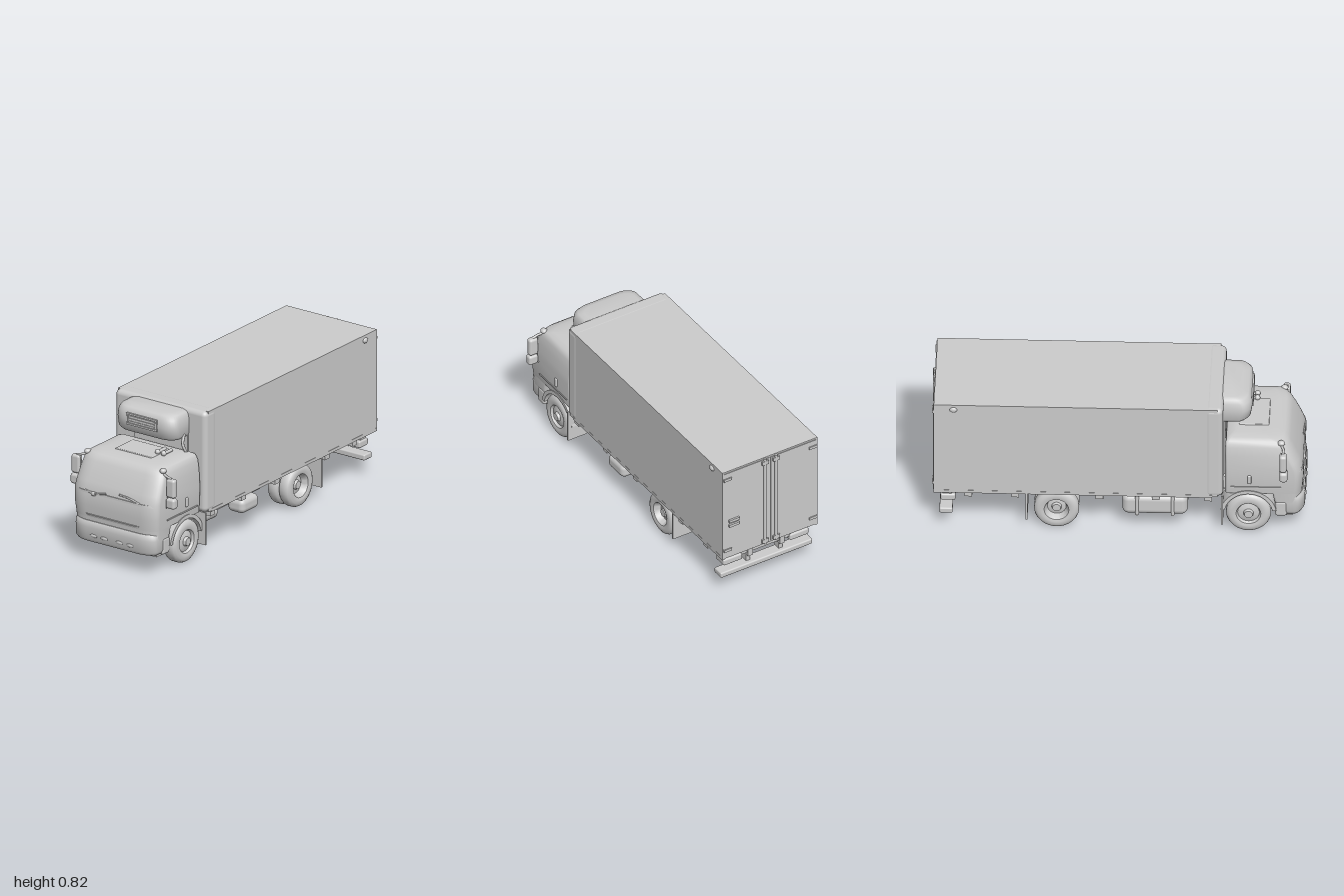
import * as THREE from 'three';
import { toCreasedNormals } from 'three/addons/utils/BufferGeometryUtils.js';
import { RoundedBoxGeometry } from 'three/addons/geometries/RoundedBoxGeometry.js';

const mat = new THREE.MeshStandardMaterial({ color: 0xcccccc, side: THREE.DoubleSide });

export function createModel() {
  const truck = new THREE.Group();

  const add = (name, geo, x = 0, y = 0, z = 0) => {
    const m = new THREE.Mesh(geo, mat);
    m.name = name;
    m.position.set(x, y, z);
    truck.add(m);
    return m;
  };
  // Boxes are given by their limits: [min, max] on each axis
  const box = (name, [x0, x1], [y0, y1], [z0, z1], r = 0) => {
    const s = [x1 - x0, y1 - y0, z1 - z0];
    const geo = r ? new RoundedBoxGeometry(...s, 4, r) : new THREE.BoxGeometry(...s);
    return add(name, geo, (x0 + x1) / 2, (y0 + y1) / 2, (z0 + z1) / 2);
  };
  const pair = (name, [x0, x1], ys, zs, r) => {
    box(name + 'Left', [x0, x1], ys, zs, r);
    box(name + 'Right', [-x1, -x0], ys, zs, r);
  };
  const tube = (name, pts, r) => add(name, new THREE.TubeGeometry(
    new THREE.CatmullRomCurve3(pts.map(p => new THREE.Vector3(...p))), 16, r, 8));
  const rod = (name, a, b, r) => {
    const A = new THREE.Vector3(...a), B = new THREE.Vector3(...b);
    const m = add(name, new THREE.CylinderGeometry(r, r, A.distanceTo(B), 20));
    m.position.copy(A).lerp(B, 0.5);
    m.quaternion.setFromUnitVectors(new THREE.Vector3(0, 1, 0), B.sub(A).normalize());
    return m;
  };
  const ball = (name, x, y, z, rx, ry = rx, rz = rx) =>
    add(name, new THREE.SphereGeometry(1, 20, 14), x, y, z).scale.set(rx, ry, rz);

  // Horizontal outline with elliptical front corners and small rear corners
  const outline = (y, w, zb, zf, rx, rz, rb) => {
    const pts = [], n = 8;
    for (let q = 0; q < 4; q++) {
      const front = q > 1, sx = q === 0 || q === 3 ? 1 : -1;
      const cx = sx * (w - (front ? rx : rb)), cz = front ? zf - rz : zb + rb;
      for (let i = 0; i <= n; i++) {
        const t = (q + i / n) * Math.PI / 2;
        pts.push([cx + Math.cos(t) * (front ? rx : rb), y, cz - Math.sin(t) * (front ? rz : rb)]);
      }
    }
    return pts;
  };
  // Skin over outlines stacked upward; each row is y, halfWidth, back, front, corner sizes
  const loft = (name, rows, crease = 0.5) => {
    const rings = rows.map(([y, w, zb, zf, rx = 0.1, rz = 0.05, rb = 0.015]) => outline(y, w, zb, zf, rx, rz, rb));
    const n = rings[0].length, pos = rings.flat(2), idx = [];
    rings.forEach((r, i) => r.forEach((_, j) => {
      const k = (j + 1) % n, a = i * n + j, b = i * n + k;
      if (i < rings.length - 1) idx.push(a, b, a + n, b, b + n, a + n);
    }));
    const top = (rings.length - 1) * n;
    for (let j = 1; j < n - 1; j++) idx.push(0, j + 1, j, top, top + j, top + j + 1);
    const geo = new THREE.BufferGeometry();
    geo.setAttribute('position', new THREE.Float32BufferAttribute(pos, 3));
    geo.setIndex(idx);
    return add(name, toCreasedNormals(geo, crease));
  };

  // Cargo body with a rounded front frame
  box('cargoBody', [-0.3, 0.3], [0.245, 0.82], [-0.985, 0.53]);
  box('cargoFrontFrame', [-0.302, 0.302], [0.245, 0.821], [0.46, 0.56], 0.028);
  box('cargoFrontPanel', [-0.165, 0.19], [0.3, 0.7], [0.55, 0.568]);
  pair('cargoFloorRail', [0.285, 0.301], [0.24, 0.258], [-0.985, 0.5]);

  // Rear doors with frame, lock rods, hinges and handle
  pair('rearDoor', [0.003, 0.292], [0.255, 0.81], [-0.989, -0.98]);
  for (const s of [-1, 1]) {
    rod('lockRod', [s * 0.035, 0.25, -0.991], [s * 0.035, 0.815, -0.991], 0.008);
    for (const y of [0.27, 0.79]) box('lockBracket', [s * 0.035 - 0.02, s * 0.035 + 0.02], [y - 0.012, y + 0.012], [-0.998, -0.98]);
    for (const y of [0.3, 0.77]) box('hinge', [s * 0.27 - 0.025, s * 0.27 + 0.025], [y - 0.008, y + 0.008], [-0.995, -0.98]);
    ball('markerLamp', s * 0.3, 0.79, -0.88, 0.011, 0.016, 0.02);
  }
  for (const y of [0.46, 0.49]) box('doorHandle', [0.2, 0.265], [y - 0.008, y + 0.008], [-1, -0.98]);

  // Cooling unit over the cab
  const cooler = loft('coolingUnit', [
    [0.662, 0.165, 0.55, 0.665, 0.08, 0.05], [0.668, 0.187, 0.55, 0.69, 0.08, 0.06],
    [0.685, 0.196, 0.55, 0.704, 0.08, 0.06], [0.74, 0.198, 0.55, 0.712, 0.08, 0.06],
    [0.785, 0.194, 0.55, 0.706, 0.08, 0.06], [0.805, 0.182, 0.55, 0.69, 0.08, 0.06],
    [0.812, 0.155, 0.55, 0.66, 0.08, 0.05]], 0.9);
  cooler.position.x = -0.003;
  for (const y of [0.718, 0.775]) box('coolerGrilleFrame', [-0.108, 0.092], [y - 0.005, y + 0.005], [0.69, 0.716]);
  for (const x of [-0.104, 0.088]) box('coolerGrilleSide', [x - 0.005, x + 0.005], [0.715, 0.778], [0.69, 0.716]);
  for (let i = 0; i < 3; i++) box('coolerGrilleSlat', [-0.09, 0.075], [0.729 + i * 0.015, 0.736 + i * 0.015], [0.69, 0.715]);
  tube('coolerHose', [[0.19, 0.69, 0.6], [0.195, 0.64, 0.62], [0.205, 0.6, 0.61], [0.205, 0.56, 0.58]], 0.008);
  box('coolerDrain', [-0.015, 0.035], [0.652, 0.67], [0.6, 0.64], 0.006);

  // Cab shell, lower front and bumper
  loft('cab', [
    [0.255, 0.272, 0.57, 0.982], [0.32, 0.278, 0.57, 0.987], [0.405, 0.28, 0.57, 0.984],
    [0.45, 0.278, 0.57, 0.966], [0.5, 0.274, 0.57, 0.943], [0.55, 0.267, 0.57, 0.917],
    [0.57, 0.26, 0.572, 0.903], [0.583, 0.25, 0.575, 0.885], [0.592, 0.225, 0.59, 0.85],
    [0.597, 0.18, 0.62, 0.8]], 0.7);
  loft('lowerFront', [[0.19, 0.268, 0.835, 0.978], [0.26, 0.272, 0.82, 0.982]]);
  loft('bumper', [
    [0.11, 0.245, 0.85, 0.968], [0.118, 0.26, 0.845, 0.985], [0.135, 0.267, 0.842, 0.994],
    [0.2, 0.268, 0.84, 0.995], [0.225, 0.267, 0.84, 0.993], [0.235, 0.262, 0.842, 0.985]], 0.8);
  loft('grilleRib', [[0.262, 0.2, 0.9, 0.987, 0.06, 0.03], [0.274, 0.2, 0.9, 0.991, 0.06, 0.03]]);
  loft('windscreenLedge', [[0.392, 0.272, 0.85, 0.99], [0.405, 0.268, 0.85, 0.989]]);
  for (const x of [-0.12, -0.05, 0.05, 0.12]) ball('bumperLamp', x, 0.157, 0.992, 0.024, 0.01, 0.008);
  tube('wiperRight', [[-0.22, 0.41, 0.972], [-0.13, 0.4, 0.99], [-0.04, 0.412, 0.985]], 0.005);
  tube('wiperLeft', [[0.04, 0.425, 0.98], [0.11, 0.42, 0.983], [0.18, 0.403, 0.985]], 0.005);
  ball('wiperPivot', -0.125, 0.395, 0.987, 0.016, 0.013, 0.01);
  box('roofHatch', [-0.12, 0.12], [0.59, 0.602], [0.64, 0.8], 0.005);
  for (const x of [0.11, 0.15]) {
    rod('horn', [x, 0.608, 0.66], [x, 0.608, 0.73], 0.009);
    ball('hornBell', x, 0.61, 0.73, 0.015);
  }
  box('underFront', [-0.25, 0.25], [0.1, 0.16], [0.85, 0.93]);

  // Wheel arch strip for the front wheels
  const arch = new THREE.Shape();
  arch.absarc(0, 0, 0.15, 0.15, Math.PI - 0.15, false);
  arch.absarc(0, 0, 0.129, Math.PI - 0.15, 0.15, true);
  const archGeo = new THREE.ExtrudeGeometry(arch, { depth: 0.11, bevelEnabled: false, curveSegments: 24 });
  archGeo.rotateY(Math.PI / 2);

  // Wheels: lathe profile of half width w; rims bulge on the front and sink on the rear
  const wheel = (name, s, xOut, w, z, hub) => {
    const p = [[0, hub + 0.006], [0.022, hub + 0.005], [0.027, hub - 0.01], [0.05, hub - 0.015], [0.058, w - 0.018],
      [0.066, w - 0.004], [0.08, w], [0.1, w - 0.002], [0.114, w - 0.01], [0.12, w - 0.022],
      [0.12, 0.022 - w], [0.114, 0.01 - w], [0.08, -w], [0.066, 0.005 - w], [0.05, 0.03 - w], [0, 0.03 - w]];
    const geo = new THREE.LatheGeometry(p.reverse().map(([r, y]) => new THREE.Vector2(r, y)), 40);
    add(name, toCreasedNormals(geo, 0.7), s * (xOut - w), 0.124, z).rotation.z = -s * Math.PI / 2;
  };

  for (const s of [-1, 1]) {
    const side = s > 0 ? 'Left' : 'Right';
    const span = (a, b) => s > 0 ? [a, b] : [-b, -a];
    add('wheelArch' + side, archGeo, s > 0 ? 0.168 : -0.278, 0.124, 0.695);
    wheel('frontWheel' + side, s, 0.282, 0.042, 0.695, 0.042);
    wheel('rearWheelOuter' + side, s, 0.282, 0.037, -0.33, 0.012);
    wheel('rearWheelInner' + side, s, 0.206, 0.036, -0.33, 0.012);
    // Two-part mirror on its arms
    box('mainMirror' + side, span(0.287, 0.342), [0.442, 0.547], [0.862, 0.9], 0.014);
    box('wideMirror' + side, span(0.287, 0.345), [0.38, 0.438], [0.862, 0.904], 0.014);
    tube('mirrorArmTop' + side, [[s * 0.24, 0.565, 0.86], [s * 0.275, 0.556, 0.88], [s * 0.315, 0.545, 0.88]], 0.007);
    tube('mirrorArmLow' + side, [[s * 0.31, 0.39, 0.88], [s * 0.28, 0.38, 0.88], [s * 0.26, 0.36, 0.88]], 0.007);
    rod('mirrorPost' + side, [s * 0.293, 0.39, 0.88], [s * 0.288, 0.55, 0.88], 0.006);
    ball('cornerLamp' + side, s * 0.25, 0.576, 0.87, 0.018, 0.015, 0.02);
    // Door details and entry step
    box('doorHandle' + side, span(0.27, 0.287), [0.325, 0.378], [0.69, 0.71], 0.006);
    box('doorTrim' + side, span(0.265, 0.281), [0.296, 0.303], [0.6, 0.87]);
    box('cabStep' + side, span(0.2, 0.272), [0.105, 0.2], [0.835, 0.9], 0.015);
    // Mud flaps
    box('frontFlap' + side, span(0.18, 0.3), [0.065, 0.25], [0.55, 0.559]);
    box('rearFlap' + side, span(0.13, 0.3), [0.07, 0.25], [-0.495, -0.485]);
    // Frame rails and springs
    box('frameRail' + side, span(0.085, 0.115), [0.17, 0.245], [-0.95, 0.85]);
    for (const [z, l] of [[0.695, 0.19], [-0.33, 0.24]])
      tube('leafSpring' + side, [[s * 0.12, 0.17, z - l], [s * 0.12, 0.13, z], [s * 0.12, 0.17, z + l]], 0.013);
    // Rear guard mounts and lamps
    box('guardMount' + side, span(0.09, 0.115), [0.12, 0.24], [-0.93, -0.89]);
    box('rearLamp' + side, span(0.15, 0.27), [0.165, 0.205], [-0.95, -0.87], 0.01);
  }

  // Rear underrun bar and cross members
  box('underrunBar', [-0.29, 0.29], [0.095, 0.128], [-0.955, -0.885], 0.008);
  box('lampBar', [-0.26, 0.26], [0.19, 0.22], [-0.94, -0.89]);
  for (const z of [-0.8, -0.55, -0.1, 0.2, 0.48]) box('crossMember', [-0.29, 0.29], [0.21, 0.246], [z - 0.02, z + 0.02]);

  // Axles and driveline
  rod('frontAxle', [-0.24, 0.11, 0.695], [0.24, 0.11, 0.695], 0.025);
  rod('rearAxle', [-0.24, 0.124, -0.33], [0.24, 0.124, -0.33], 0.03);
  ball('differential', 0, 0.125, -0.33, 0.06, 0.06, 0.07);
  rod('driveShaft', [0, 0.13, -0.3], [0, 0.16, 0.3], 0.018);
  rod('gearbox', [0, 0.16, 0.22], [0, 0.165, 0.5], 0.05);
  box('engine', [-0.085, 0.085], [0.09, 0.26], [0.46, 0.84], 0.03);

  // Tanks under the body
  box('fuelTank', [-0.28, -0.14], [0.1, 0.225], [0.02, 0.37], 0.035);
  for (const z of [0.1, 0.29]) box('tankStrap', [-0.283, -0.137], [0.097, 0.245], [z - 0.01, z + 0.01], 0.009);
  box('airTank', [0.17, 0.28], [0.118, 0.2], [0.04, 0.195], 0.03);
  box('airTankBracket', [0.11, 0.24], [0.18, 0.246], [0.09, 0.14]);
  rod('silencer', [0.15, 0.15, 0.3], [0.15, 0.15, 0.5], 0.04);
  tube('exhaustPipe', [[0.15, 0.15, 0.32], [0.14, 0.145, 0.1], [0.13, 0.14, -0.15]], 0.012);

  return truck;
}
